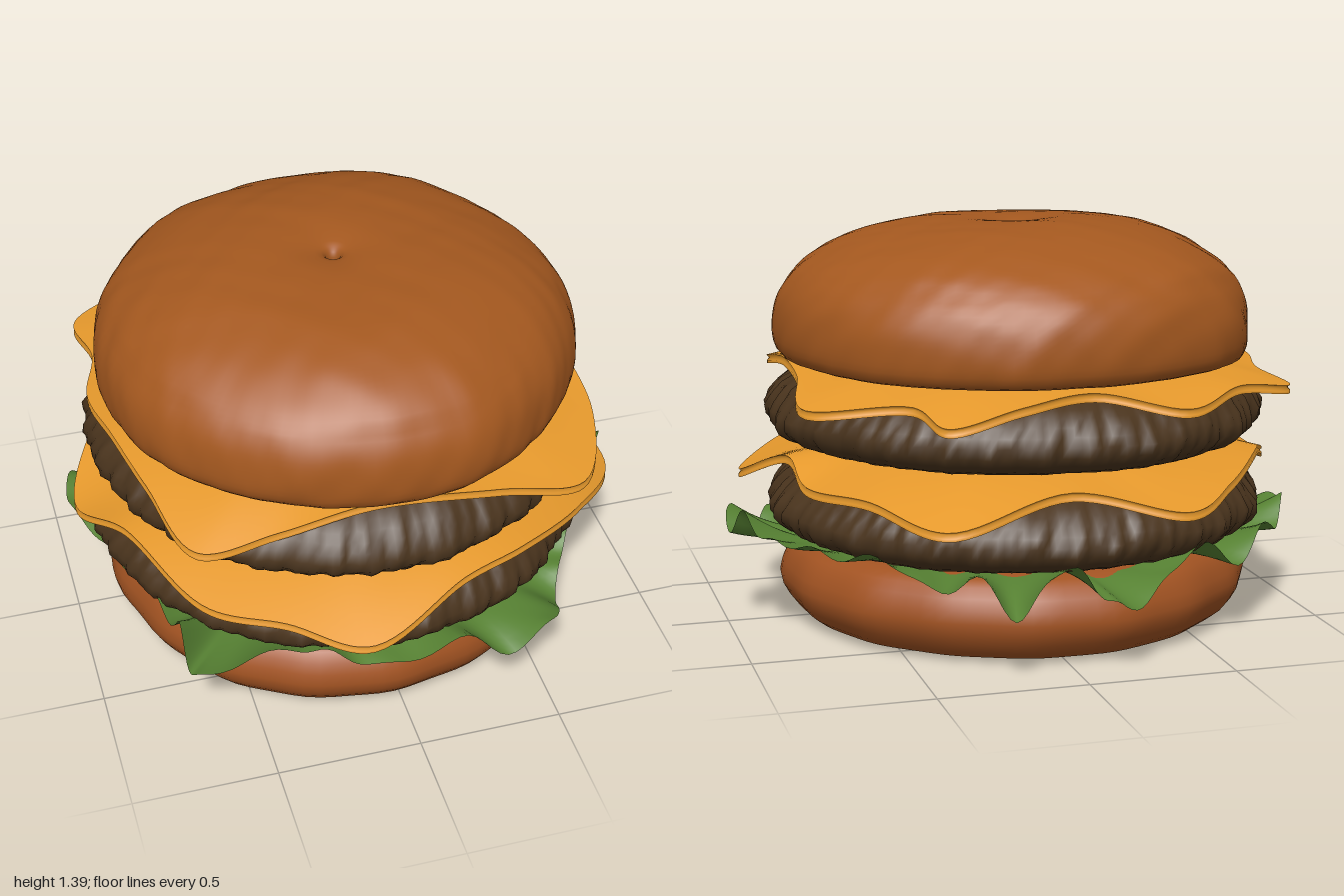
import * as THREE from 'three';

const mat = (name, color, side = THREE.FrontSide) => {
  const m = new THREE.MeshStandardMaterial({ color, side });
  m.name = name;
  return m;
};

// Smooth closed surface: rings of n points, one ring per section entry, wrapped around y.
// Sections run from the underside outward, up, and back in over the top.
function ringMesh(name, material, n, sections, pointAt) {
  const pos = [], idx = [];
  sections.forEach((s) => {
    for (let i = 0; i < n; i++) pos.push(...pointAt(i / n, s));
  });
  for (let j = 0; j < sections.length - 1; j++) {
    for (let i = 0; i < n; i++) {
      const k = (i + 1) % n;
      const a = j * n + i, b = j * n + k, c = (j + 1) * n + i, d = (j + 1) * n + k;
      idx.push(a, c, b, b, c, d);
    }
  }
  const g = new THREE.BufferGeometry();
  g.setAttribute('position', new THREE.Float32BufferAttribute(pos, 3));
  g.setIndex(idx);
  g.computeVertexNormals();
  const mesh = new THREE.Mesh(g, material);
  mesh.name = name;
  return mesh;
}

const closedCurve = (pts) =>
  new THREE.CatmullRomCurve3(pts.map((p) => new THREE.Vector3(...p)), true, 'centripetal');

// Repeatable lumps built from crossed waves
const lumps = (x, y, z, f) =>
  Math.sin(f * x + 1.3 * Math.sin(f * 0.7 * z)) * Math.cos(f * 0.9 * z + f * 0.6 * y) +
  0.5 * Math.sin(2.1 * f * z + 1.7 * f * y) * Math.sin(1.9 * f * x + 2);

// Round part: profile of [radius, height] with a surface offset
function roundPart(name, material, profile, steps, n, cx, offset) {
  const curve = new THREE.CatmullRomCurve3(
    profile.map(([r, y]) => new THREE.Vector3(r, y, 0)), false, 'centripetal');
  return ringMesh(name, material, n, curve.getSpacedPoints(steps), (u, p) => {
    const t = u * Math.PI * 2, c = Math.cos(t), s = Math.sin(t);
    const r = Math.max(p.x, 0);
    const [dr, dy] = offset(r * c, p.y, r * s, t, r);
    return [cx + (r + dr) * c, p.y + dy, (r + dr) * s];
  });
}

// Draped cheese slice: flat in the middle, falling to a wavy edge curve
function cheeseSlice(name, material, yMid, edge) {
  const curve = closedCurve(edge), thick = 0.03, sections = [];
  const ts = [0, 0.3, 0.55, 0.62, 0.69, 0.76, 0.83, 0.89, 0.95, 1];
  ts.forEach((t) => sections.push([t, 0]));
  // Doubled rings keep the rim crisp, with a shallow groove along it
  sections.push([1, 0], [1, 0.01], [0.99, 0.018], [1, thick]);
  ts.slice().reverse().forEach((t) => sections.push([t, thick]));
  return ringMesh(name, material, 180, sections, (u, [t, h]) => {
    const e = curve.getPoint(u);
    const f = Math.pow(Math.max(0, (t - 0.55) / 0.45), 1.5);
    return [-0.03 * (1 - t) + e.x * t, yMid + (e.y - yMid) * f + h, e.z * t];
  });
}

export function createModel() {
  const bunMat = mat('toasted bun', 0xa4581f);
  const lowBunMat = mat('bun base', 0xa25322);
  const pattyMat = mat('grilled meat', 0x4a341d);
  const cheeseMat = mat('cheese', 0xe6992c);
  const leafMat = mat('lettuce', 0x578233, THREE.DoubleSide);
  const burger = new THREE.Group();
  burger.name = 'burger';

  // Bottom bun
  burger.add(roundPart('bottomBun', lowBunMat,
    [[0, 0.005], [0.4, 0.003], [0.72, 0.008], [0.76, 0.025], [0.805, 0.08], [0.828, 0.14],
      [0.81, 0.21], [0.775, 0.262], [0.7, 0.29], [0, 0.3]], 44, 96, -0.03,
    (x, y, z, t, r) => [(r / 0.8) ** 4 * (0.01 * lumps(x, y, z, 4) + 0.004 * Math.sin(17 * t)), 0]));

  // Top bun with a small pit in the crown
  burger.add(roundPart('topBun', bunMat,
    [[0, 0.93], [0.6, 0.93], [0.8, 0.92], [0.825, 0.95], [0.833, 1.03], [0.812, 1.13], [0.75, 1.22],
      [0.64, 1.295], [0.44, 1.362], [0.2, 1.387], [0.08, 1.378], [0.028, 1.36], [0.018, 1.31], [0, 1.3]],
    90, 150, -0.03, (x, y, z, t, r) => {
      const k = Math.min(1, r / 0.6), up = y > 1.2 ? Math.min(1, r * 4) : 0;
      return [k * (0.009 * lumps(x, y, z, 5) + 0.004 * lumps(x, y, z, 21)),
        up * (0.007 * lumps(x, y, z, 4) + 0.002 * lumps(x, y, z, 17))];
    }));

  // Two rough patties
  const pattyProfile = [[0, 0], [0.5, 0], [0.76, 0.005], [0.83, 0.03], [0.875, 0.09], [0.85, 0.15],
    [0.79, 0.21], [0.66, 0.26], [0.4, 0.27], [0, 0.27]];
  [['lowerPatty', 0.305, 0], ['upperPatty', 0.63, 2]].forEach(([name, y0, seed]) => {
    burger.add(roundPart(name, pattyMat, pattyProfile.map(([r, y]) => [r, y + y0]), 52, 260, -0.035,
      (x, y, z, t, r) => {
        const k = (r / 0.87) ** 3;
        const ridges = Math.sin(41 * t + seed + 2 * Math.sin(7 * t)) * 0.005 +
          Math.sin(83 * t + 25 * y + seed) * 0.004;
        return [k * (ridges + 0.009 * lumps(x + seed, y, z, 9) + 0.007 * lumps(x, y + seed, z, 33)), 0];
      }));
  });

  // Cheese slices, given by their edge points
  burger.add(cheeseSlice('lowerCheese', cheeseMat, 0.6, [
    [0.91, 0.45, 0.28], [0.7, 0.51, 0.56], [0.42, 0.55, 0.75], [0.2, 0.54, 0.83], [-0.17, 0.455, 0.98],
    [-0.42, 0.5, 0.85], [-0.66, 0.5, 0.7], [-0.85, 0.55, 0.3], [-0.98, 0.47, 0.03], [-0.85, 0.55, -0.3],
    [-0.6, 0.52, -0.68], [-0.38, 0.48, -0.88], [0, 0.55, -0.8], [0.43, 0.47, -0.89],
    [0.62, 0.51, -0.58], [0.77, 0.5, -0.28], [0.79, 0.56, -0.05]]));
  burger.add(cheeseSlice('upperCheese', cheeseMat, 0.9, [
    [0.63, 0.79, 0.75], [0.33, 0.84, 0.77], [-0.1, 0.88, 0.77], [-0.42, 0.81, 0.75], [-0.69, 0.79, 0.75],
    [-0.79, 0.85, 0.45], [-0.85, 0.87, 0.18], [-0.89, 0.85, -0.08], [-0.83, 0.84, -0.32], [-0.85, 0.82, -0.57],
    [-0.62, 0.85, -0.69], [-0.37, 0.82, -0.88], [-0.08, 0.87, -0.79], [0.18, 0.85, -0.86], [0.43, 0.8, -0.88],
    [0.5, 0.84, -0.71], [0.81, 0.81, -0.52], [0.77, 0.86, -0.15], [0.77, 0.88, 0.1], [0.77, 0.83, 0.45]]));

  // Ruffled lettuce: [angle, radius, height] around the rim
  const rim = closedCurve([
    [0, 1.0, 0.38], [12, 0.89, 0.33], [30, 0.84, 0.28], [45, 0.87, 0.28], [60, 1.01, 0.3], [77, 0.92, 0.3],
    [100, 0.86, 0.31], [116, 0.88, 0.3], [132, 1.07, 0.35], [140, 0.98, 0.4], [158, 0.86, 0.34],
    [176, 0.88, 0.33], [190, 1.0, 0.33], [205, 0.97, 0.35], [222, 0.94, 0.32], [242, 0.87, 0.3],
    [262, 0.97, 0.28], [271, 0.91, 0.32], [284, 0.98, 0.27], [300, 0.88, 0.32], [320, 0.86, 0.31],
    [338, 0.91, 0.4], [350, 0.97, 0.37],
  ].map(([a, r, y]) => {
    const t = a * Math.PI / 180;
    return [r * Math.cos(t), y, r * Math.sin(t)];
  }));
  burger.add(ringMesh('lettuce', leafMat, 260, [0, 0.3, 0.5, 0.62, 0.74, 0.84, 0.92, 1], (u, s) => {
    const e = rim.getPoint(u), w = u * Math.PI * 2;
    const len = Math.hypot(e.x, e.z), k = s * s;
    const ruffle = 0.05 * Math.sin(14 * w + 1.5 * Math.sin(5 * w)) + 0.014 * Math.sin(31 * w + 3 * s);
    const r = 0.6 + (len - 0.6) * s;
    return [e.x / len * r, 0.29 + (e.y - 0.29) * k + ruffle * k, e.z / len * r];
  }));

  return burger;
}
